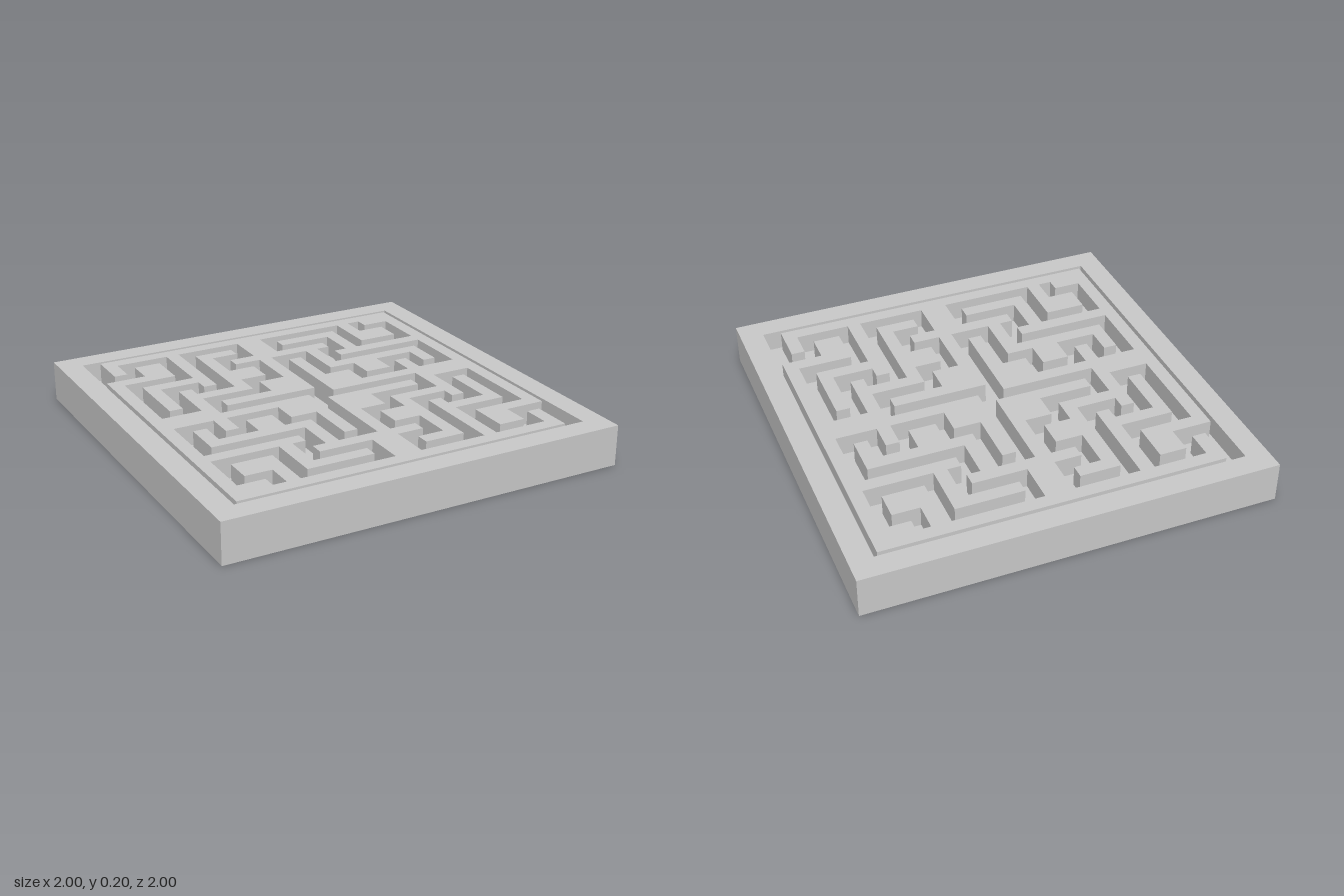
import * as THREE from 'three';

const CELL = 1 / 15;      // width of every wall and channel
const HEIGHT = 0.2, FLOOR = 0.1, INNER = 0.887;

// Outline of one maze piece in cells. Turns alternate between z and x moves,
// so each entry is only the coordinate that changes; it starts at (-12, -13).
const TURNS = [
  -10, -11, -12, -7, -7, -11, -2, -10, -6, -7, -5, -6, -12, -1, -9, -3, -8, -1, -4, -3, -2, -7, -1,
  0, -8, 3, -4, 5, -2, 7, -4, 10, -2, 11, -5, 4, -8, 5, -9, 1, -12, 8, -8, 11, -10, 9, -12, 10, -11,
  12, -7, 7, -11, 2, -10, 6, -7, 5, -6, 12, -1, 9, -3, 8, -1, 4, -3, 2, -7, 1, 0, 8, 3, 4, 5, 2, 7,
  4, 10, 2, 11, 5, 4, 8, 5, 9, 1, 12, 8, 8, 11, 10, 9, 13, -13,
];

function mazeShape() {
  let x = -12, z = -13;
  const points = [new THREE.Vector2(x * CELL, -z * CELL)];
  TURNS.forEach((value, i) => {
    if (i % 2) x = value; else z = value;
    points.push(new THREE.Vector2(x * CELL, -z * CELL));
  });
  return new THREE.Shape(points);
}

function square(half, Type) {
  return new Type([[-1, -1], [1, -1], [1, 1], [-1, 1]].map(([x, y]) => new THREE.Vector2(x * half, y * half)));
}

// Extrude a plan shape upwards from y0 to y1
function raise(shape, y0, y1) {
  return new THREE.ExtrudeGeometry(shape, { depth: y1 - y0, bevelEnabled: false })
    .rotateX(-Math.PI / 2)
    .translate(0, y0, 0);
}

export function createModel() {
  const model = new THREE.Group();
  model.name = 'mazeTray';
  const material = new THREE.MeshStandardMaterial({ color: 0xcccccc });
  const add = (name, geometry) => {
    const mesh = new THREE.Mesh(geometry, material);
    mesh.name = name;
    model.add(mesh);
    return mesh;
  };

  // Tray: square rim around a sunken floor
  const rim = square(1, THREE.Shape);
  rim.holes.push(square(INNER, THREE.Path));
  add('trayRim', raise(rim, 0, HEIGHT));
  add('trayFloor', raise(square(INNER, THREE.Shape), 0, FLOOR));

  // Two identical interlocking maze pieces, turned half way round from each other
  const piece = raise(mazeShape(), FLOOR, HEIGHT);
  add('mazePieceBack', piece);
  add('mazePieceFront', piece).rotation.y = Math.PI;

  return model;
}
